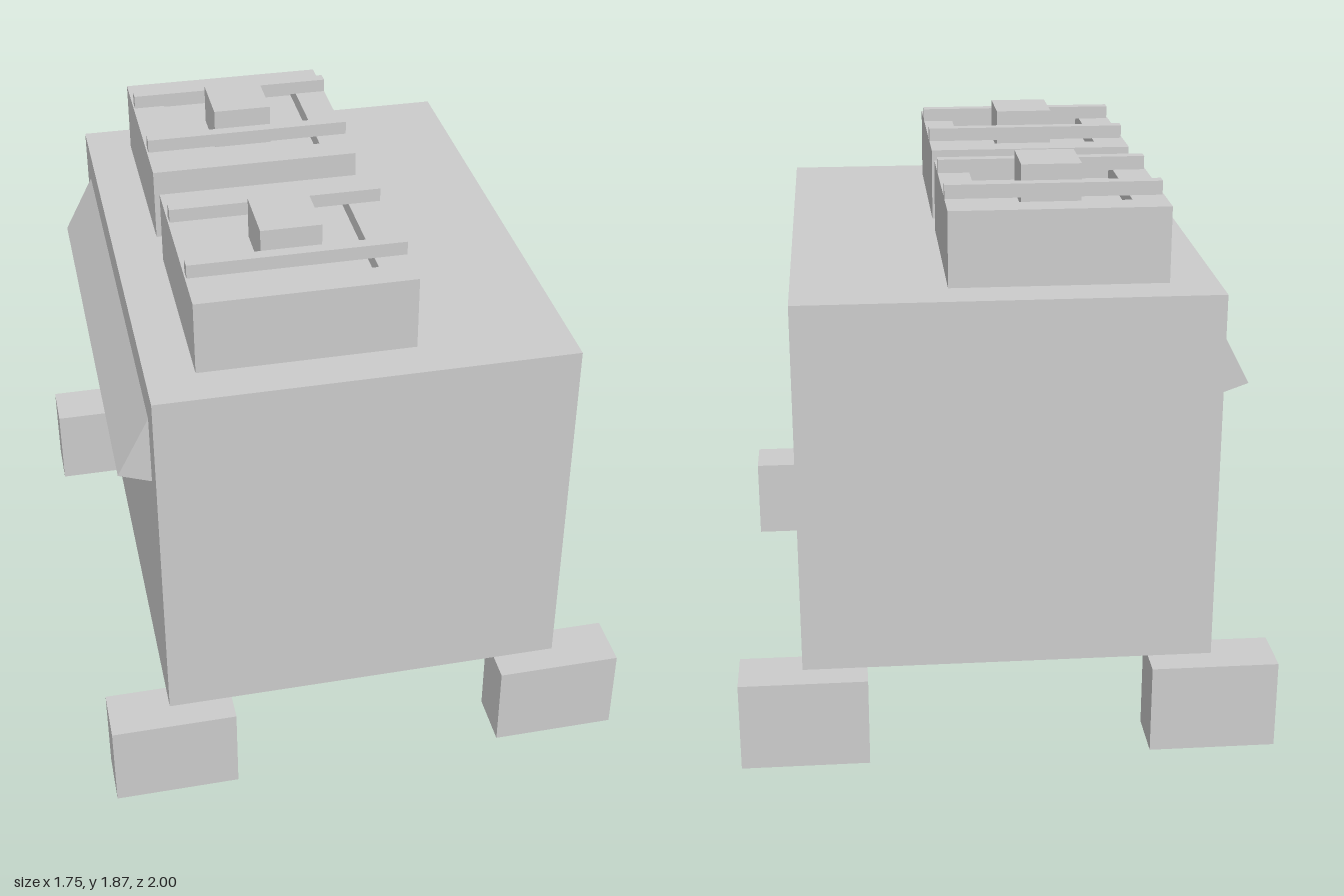
import * as THREE from 'three';

const material = new THREE.MeshStandardMaterial({ color: 0xcccccc, flatShading: true });

function addMesh(parent, name, geometry) {
  const mesh = new THREE.Mesh(geometry, material);
  mesh.name = name;
  parent.add(mesh);
  return mesh;
}

// Box given by its limits on each axis
function addBox(parent, name, [x0, x1], [y0, y1], [z0, z1]) {
  const mesh = addMesh(parent, name, new THREE.BoxGeometry(x1 - x0, y1 - y0, z1 - z0));
  mesh.position.set((x0 + x1) / 2, (y0 + y1) / 2, (z0 + z1) / 2);
  return mesh;
}

function rectangle(Type, u0, u1, v0, v1) {
  return new Type([[u0, v0], [u1, v0], [u1, v1], [u0, v1]].map(p => new THREE.Vector2(...p)));
}

// Rectangular plate with rectangular holes
function frameGeometry(outer, holes, depth) {
  const shape = rectangle(THREE.Shape, ...outer);
  shape.holes = holes.map(h => rectangle(THREE.Path, ...h));
  return new THREE.ExtrudeGeometry(shape, { depth, bevelEnabled: false });
}

// Rooftop fan unit with a sunken tray, hub and two rails, centred on its own z
function createFanUnit() {
  const unit = new THREE.Group();
  unit.name = 'fanUnit';
  addBox(unit, 'fanBase', [-0.515, 0.18], [1.535, 1.73], [-0.345, 0.345]);
  const rim = frameGeometry([-0.515, 0.18, -0.345, 0.345], [[-0.405, 0.075, -0.25, 0.25]], 0.05);
  addMesh(unit, 'fanRim', rim.rotateX(-Math.PI / 2)).position.y = 1.73;
  addBox(unit, 'fanHub', [-0.265, -0.07], [1.73, 1.865], [-0.105, 0.105]);
  for (const z of [-0.175, 0.175]) {
    addBox(unit, 'fanRail', [-0.51, 0.18], [1.78, 1.825], [z - 0.02, z + 0.02]);
  }
  return unit;
}

export function createModel() {
  const model = new THREE.Group();
  model.name = 'containerUnit';

  // Main body, with a framed pair of recessed panels on the +x side
  addBox(model, 'body', [-0.67, 0.625], [0.3, 1.535], [-0.907, 0.907]);
  const frame = frameGeometry([-0.907, 0.907, 0.3, 1.535],
    [[-0.82, -0.033, 0.36, 1.475], [0.033, 0.82, 0.36, 1.475]], 0.045);
  addMesh(model, 'panelFrame', frame.rotateY(Math.PI / 2)).position.x = 0.625;

  // Corner feet
  for (const sx of [-1, 1]) {
    for (const sz of [-1, 1]) {
      const foot = addBox(model, 'foot', [0.46, 0.875], [0, 0.3], [0.818, 1]);
      foot.position.x *= sx;
      foot.position.z *= sz;
    }
  }

  // Wedge-shaped awning on the -x side
  const wedge = new THREE.Shape([
    new THREE.Vector2(-0.67, 1.405),
    new THREE.Vector2(-0.775, 1.203),
    new THREE.Vector2(-0.67, 1.165),
  ]);
  addMesh(model, 'awning', new THREE.ExtrudeGeometry(wedge, { depth: 1.585, bevelEnabled: false }))
    .position.z = -0.793;

  // Rooftop fan units
  for (const z of [-0.422, 0.422]) {
    const unit = createFanUnit();
    unit.position.z = z;
    model.add(unit);
  }
  return model;
}
